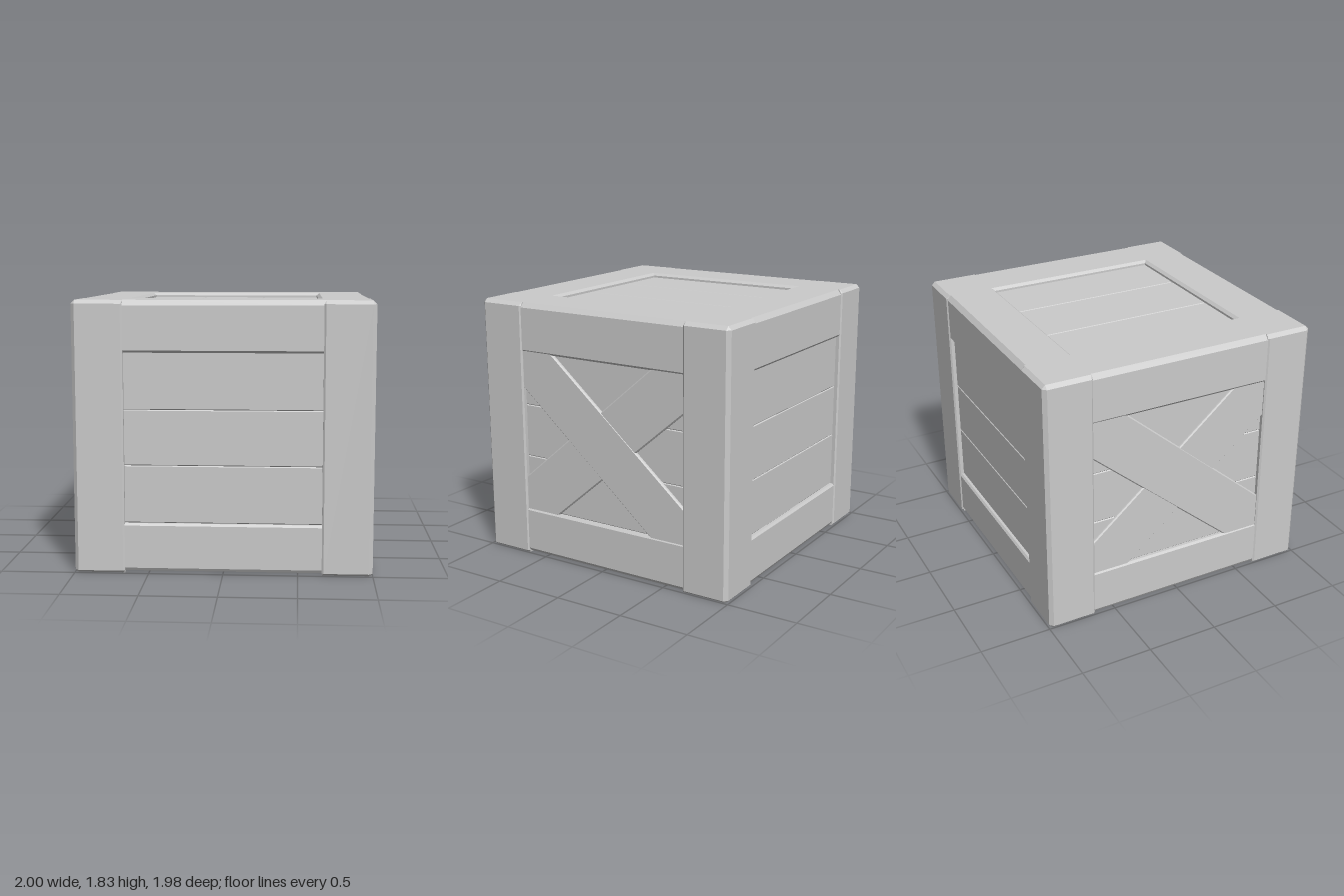
import * as THREE from 'three';

const H = 1.83, IN = 0.66, C = 0.025, SETBACK = 0.008;
const mat = new THREE.MeshStandardMaterial({ color: 0xcccccc, flatShading: true, side: THREE.DoubleSide });

// Skin a run of cross-sections; optionally close the loops and cap the last one.
function loft(rings, closed = false, cap = null) {
  const pos = [];
  const tri = (a, b, c) => pos.push(...a, ...b, ...c);
  for (let i = 0; i < rings.length - 1; i++) {
    const p = rings[i], q = rings[i + 1], n = p.length;
    for (let j = 0; j < (closed ? n : n - 1); j++) {
      const k = (j + 1) % n;
      tri(p[j], p[k], q[k]);
      tri(p[j], q[k], q[j]);
    }
  }
  if (cap) for (let j = 1; j < cap.length - 1; j++) tri(cap[0], cap[j], cap[j + 1]);
  const g = new THREE.BufferGeometry();
  g.setAttribute('position', new THREE.Float32BufferAttribute(pos, 3));
  g.computeVertexNormals();
  return g;
}

function add(parent, name, geometry, x = 0, y = 0, z = 0) {
  const m = new THREE.Mesh(geometry, mat);
  m.name = name;
  m.position.set(x, y, z);
  parent.add(m);
  return m;
}

// Open-backed board facing +z with bevelled edges.
function board(w, h, bevel, depth = bevel) {
  const rect = (inset, z) => [[-1, -1], [1, -1], [1, 1], [-1, 1]]
    .map(([sx, sy]) => [sx * (w / 2 - inset), sy * (h / 2 - inset), z]);
  const face = rect(bevel, 0);
  return loft([rect(0, -depth), rect(0, -bevel), face], true, face);
}

// Rail running along x from a list of [z, y] profile points.
const rail = (profile) => loft([-IN, IN].map(x => profile.map(([z, y]) => [x, y, z])));

// Corner post: open inside and below, capped on top.
function post() {
  const profile = [[IN, 0.95], [IN, 0.99], [IN + 0.012, 1], [1 - C, 1],
    [1, 1 - C], [1, IN + 0.012], [0.99, IN], [0.95, IN]];
  const ring = (y, max) => profile.map(([x, z]) => [Math.min(x, max), y, Math.min(z, max)]);
  const top = ring(H, 1 - C);
  return loft([ring(0, 0.985), ring(0.015, 1), ring(H - C, 1), top], false, [[IN, H, IN], ...top]);
}

export function createModel() {
  const crate = new THREE.Group();
  crate.name = 'crate';

  const postGeo = post();
  const topRailGeo = rail([[0.635, 1.78], [0.635, 1.812], [0.655, H], [0.965, H],
    [0.992, 1.795], [0.992, 1.5], [0.98, 1.485], [IN, 1.485]]);
  const bottomRailGeo = rail([[IN, 0.34], [0.98, 0.34], [0.992, 0.325], [0.992, 0.035], [0.98, 0.015]]);
  const seams = [0.34, 0.73, 1.105, 1.49];

  // Four walls, each with a post on its left corner; the crate is a touch shorter in z
  for (let k = 0; k < 4; k++) {
    const turn = k * Math.PI / 2;
    const wall = new THREE.Group();
    wall.name = ['frontWall', 'leftWall', 'backWall', 'rightWall'][k];
    wall.rotation.y = turn;
    wall.position.z = -SETBACK * Math.cos(turn);
    crate.add(wall);
    add(crate, 'cornerPost', postGeo, 0, 0, k % 3 ? SETBACK : -SETBACK).rotation.y = turn;
    add(wall, 'topRail', topRailGeo);
    add(wall, 'bottomRail', bottomRailGeo);
    for (let i = 0; i < 3; i++) {
      const h = seams[i + 1] - seams[i];
      add(wall, 'wallPlank', board(2 * IN + 0.02, h, 0.006), 0, seams[i] + h / 2, 0.965);
    }
    // Crossed braces on the two side walls, nearly flush with the rails
    if (k % 2) {
      const brace = board(1.76, 0.364, 0.008, 0.025);
      add(wall, 'fallingBrace', brace, 0, 0.905, 0.986).rotation.z = -0.71;
      add(wall, 'risingBrace', brace, 0, 0.905, 0.983).rotation.z = 0.71;
    }
  }

  // Recessed lid planks
  const lid = [-0.66, -0.24, 0.22, 0.66];
  for (let i = 0; i < 3; i++) {
    const w = lid[i + 1] - lid[i];
    add(crate, 'lidPlank', board(w, 2 * IN, 0.006), lid[i] + w / 2, 1.797, 0).rotation.x = -Math.PI / 2;
  }
  return crate;
}
